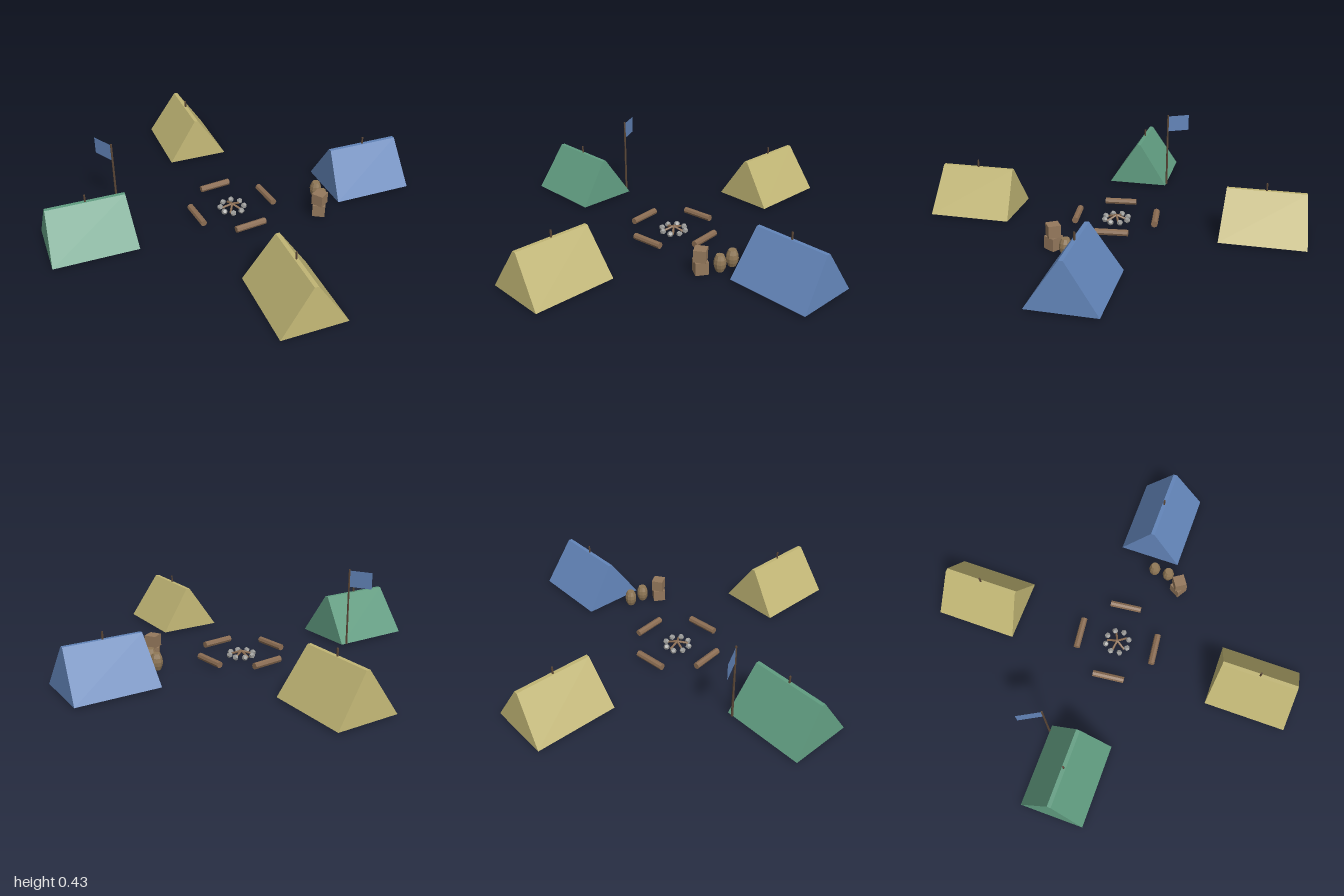
import * as THREE from 'three';

const mat = (name, color, double = false) => {
  const m = new THREE.MeshStandardMaterial({ color, flatShading: true, side: double ? THREE.DoubleSide : THREE.FrontSide });
  m.name = name;
  return m;
};

export function createModel() {
  const model = new THREE.Group();
  model.name = 'camp';
  const blue = mat('blue canvas', 0x6284b8, true);
  const green = mat('green canvas', 0x609c80, true);
  const khaki = mat('khaki canvas', 0xc0b574, true);
  const dark = mat('dark doorway', 0x2a2826, true);
  const wood = mat('log wood', 0x8a6c52);
  const pole = mat('dark pole wood', 0x5a4636);
  const stone = mat('grey stone', 0x9a9a98);
  const crate = mat('crate wood', 0x94785c);
  const sackCloth = mat('barrel tan', 0x8f7756);

  const add = (parent, name, geo, material, x = 0, y = 0, z = 0) => {
    const mesh = new THREE.Mesh(geo, material);
    mesh.name = name;
    mesh.position.set(x, y, z);
    parent.add(mesh);
    return mesh;
  };
  const group = (name, turn) => {
    const g = new THREE.Group();
    g.name = name;
    g.rotation.y = turn;
    model.add(g);
    return g;
  };

  // Tent shell: a box drawn in to a narrow ridge, with no floor
  const ground = 0.008, ridge = 0.242;
  const shell = new THREE.BoxGeometry(1, 1, 1);
  const p = shell.attributes.position;
  for (let i = 0; i < p.count; i++) {
    const top = p.getY(i) > 0;
    p.setXYZ(i,
      Math.sign(p.getX(i)) * (top ? 0.199 : 0.217),
      top ? ridge : ground,
      Math.sign(p.getZ(i)) * (top ? 0.01 : 0.167));
  }
  const faces = Array.from(shell.index.array);
  faces.splice(18, 6);
  shell.setIndex(faces);
  shell.clearGroups();
  shell.computeVertexNormals();

  // Doorway flap, just inside the outer end
  const flap = new THREE.ShapeGeometry(new THREE.Shape([
    new THREE.Vector2(-0.052, 0), new THREE.Vector2(0.052, 0), new THREE.Vector2(0, 0.19)]));
  flap.rotateY(Math.PI / 2).rotateZ(Math.atan2(0.018, ridge - ground));

  // Four tents around the fire
  [blue, khaki, green, khaki].forEach((canvas, k) => {
    const ring = group('tent', -0.281 + k * Math.PI / 2);
    add(ring, 'tentCanvas', shell, canvas, 0.772);
    add(ring, 'tentDoor', flap, dark, 0.772 + 0.212, ground + 0.002, 0);
    add(ring, 'tentPole', new THREE.CylinderGeometry(0.005, 0.005, 0.272, 6), pole, 0.772, 0.144, 0);
  });

  // Log seats
  for (let k = 0; k < 4; k++) {
    const ring = group('logSeat', -0.172 + k * Math.PI / 2);
    const log = add(ring, 'log', new THREE.CylinderGeometry(0.0175, 0.0175, 0.17, 8), wood, 0.208, 0.027, 0);
    log.rotation.x = Math.PI / 2;
  }

  // Fire ring of stones
  for (let k = 0; k < 8; k++) {
    const a = k * Math.PI / 4 + 0.55;
    const s = add(model, 'fireStone', new THREE.DodecahedronGeometry(0.0165, 0), stone,
      Math.cos(a) * 0.064, 0.015, Math.sin(a) * 0.064);
    s.rotation.set(k, k * 1.7, 0);
  }

  // Firewood leaning toward the middle
  for (let k = 0; k < 5; k++) {
    const ring = group('firewood', 0.15 + k * Math.PI * 2 / 5);
    const stick = add(ring, 'stick', new THREE.CylinderGeometry(0.006, 0.006, 0.065, 6), wood, 0.026, 0.022, 0);
    stick.rotation.z = 1.2;
  }

  // Barrels
  const barrel = new THREE.LatheGeometry(
    [[0, 0], [0.02, 0], [0.029, 0.022], [0.032, 0.043], [0.029, 0.064], [0.02, 0.086], [0, 0.086]]
      .map(([r, y]) => new THREE.Vector2(r, y)), 10);
  add(model, 'barrel', barrel, sackCloth, 0.435, ground, 0.185);
  add(model, 'barrel', barrel, sackCloth, 0.407, ground, 0.262);

  // Stacked crates
  add(model, 'lowerCrate', new THREE.BoxGeometry(0.066, 0.066, 0.066), crate, 0.333, 0.041, 0.322).rotation.y = 0.75;
  add(model, 'upperCrate', new THREE.BoxGeometry(0.062, 0.062, 0.062), crate, 0.333, 0.105, 0.322).rotation.y = 0.3;

  // Flag on its pole
  add(model, 'flagPole', new THREE.CylinderGeometry(0.005, 0.006, 0.425, 6), pole, -0.515, 0.2205, -0.325);
  const flag = add(model, 'flag', new THREE.PlaneGeometry(0.127, 0.09), blue, -0.529, 0.381, -0.388);
  flag.rotation.y = Math.PI / 2 - 0.22 + 0.44;

  return model;
}
